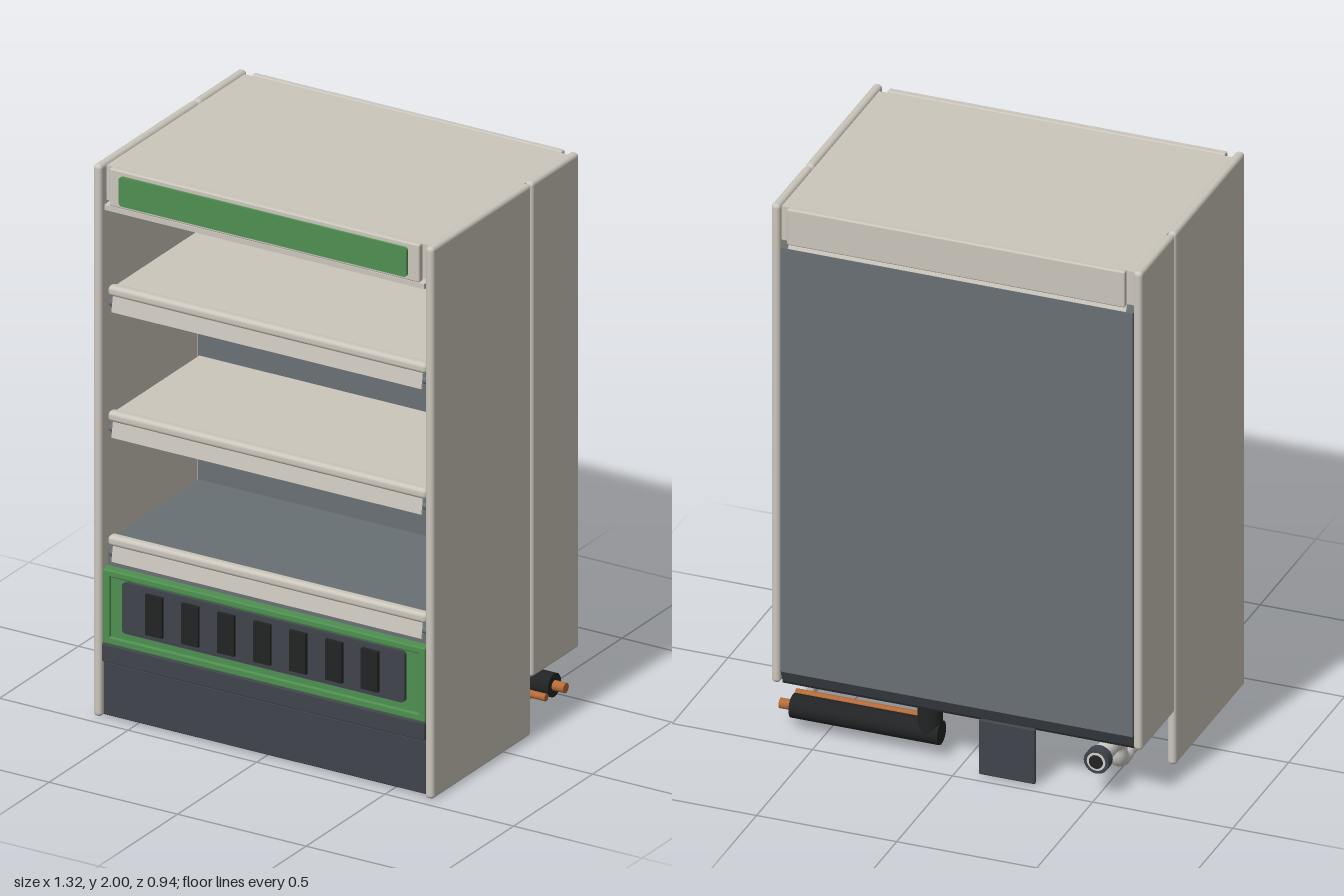
import * as THREE from 'three';
import { RoundedBoxGeometry } from 'three/addons/geometries/RoundedBoxGeometry.js';

const mat = (name, color) => {
  const m = new THREE.MeshStandardMaterial({ color });
  m.name = name;
  return m;
};

export function createModel() {
  const beige = mat('beige', 0xcbc6bc);
  const grey = mat('steelGrey', 0x697074);
  const dark = mat('darkGrey', 0x40454c);
  const green = mat('green', 0x4f8f50);
  const black = mat('black', 0x222324);
  const copper = mat('copper', 0xb56b38);
  const plastic = mat('pipeWhite', 0xd2d1cc);

  const model = new THREE.Group();
  model.name = 'displayCabinet';

  const add = (name, geometry, material, parent = model) => {
    const m = new THREE.Mesh(geometry, material);
    m.name = name;
    parent.add(m);
    return m;
  };
  // Box from its limits, with optional rounded edges
  const box = (name, material, [x0, x1], [y0, y1], [z0, z1], r = 0, parent = model) => {
    const s = [x1 - x0, y1 - y0, z1 - z0];
    const g = r ? new RoundedBoxGeometry(...s, 4, r) : new THREE.BoxGeometry(...s);
    g.translate((x0 + x1) / 2, (y0 + y1) / 2, (z0 + z1) / 2);
    return add(name, g, material, parent);
  };
  // (z, y) profile swept across the width
  const sweep = (name, material, points, halfWidth, parent = model) => {
    const shape = new THREE.Shape(points.map(([z, y]) => new THREE.Vector2(-z, y)));
    const g = new THREE.ExtrudeGeometry(shape, { depth: 2 * halfWidth, bevelEnabled: false });
    g.translate(0, 0, -halfWidth).rotateY(Math.PI / 2);
    return add(name, g, material, parent);
  };
  // Plate with rounded corners facing the front
  const plate = (name, material, hw, y0, y1, z0, z1, r) => {
    const s = new THREE.Shape();
    s.moveTo(-hw + r, y0).lineTo(hw - r, y0);
    s.absarc(hw - r, y0 + r, r, -Math.PI / 2, 0);
    s.absarc(hw - r, y1 - r, r, 0, Math.PI / 2);
    s.absarc(-hw + r, y1 - r, r, Math.PI / 2, Math.PI);
    s.absarc(-hw + r, y0 + r, r, Math.PI, Math.PI * 1.5);
    const g = new THREE.ExtrudeGeometry(s, { depth: z1 - z0, bevelEnabled: false, curveSegments: 6 });
    return add(name, g.translate(0, 0, z0), material);
  };
  const rod = (name, material, r, length, axis, x, y, z, parent) => {
    const g = new THREE.CylinderGeometry(r, r, length, 20);
    if (axis === 'x') g.rotateZ(Math.PI / 2);
    if (axis === 'z') g.rotateX(Math.PI / 2);
    return add(name, g.translate(x, y, z), material, parent);
  };

  // Side panels, each in a full-height front and a shorter rear piece
  for (const [side, s] of [['left', 1], ['right', -1]]) {
    const x = s > 0 ? [0.63, 0.662] : [-0.662, -0.63];
    box(side + 'FrontSidePanel', beige, x, [0, 2], [-0.163, 0.462], 0.014);
    box(side + 'RearSidePanel', beige, x, [0.205, 2], [-0.468, -0.168], 0.014);
  }

  // Rear duct, base tray and underside
  box('rearDuct', grey, [-0.628, 0.628], [0.25, 1.84], [-0.463, -0.15]);
  sweep('baseTray', dark, [[-0.463, 0.25], [-0.445, 0.207], [0.43, 0.207], [0.43, 0.25]], 0.628);
  box('underside', black, [-0.628, 0.628], [0.2, 0.207], [-0.445, 0.44]);
  box('lowerBody', grey, [-0.628, 0.628], [0.25, 0.6], [-0.15, 0.42]);

  // Roof with narrower fascias front and back
  box('roof', beige, [-0.63, 0.63], [1.865, 1.99], [-0.45, 0.425]);
  box('frontFascia', beige, [-0.603, 0.603], [1.858, 1.995], [0.425, 0.452], 0.006);
  sweep('frontFasciaLip', beige, [[0.452, 1.858], [0.452, 1.84], [0.36, 1.835], [0.36, 1.865]], 0.622);
  box('lampStrip', beige, [-0.59, 0.59], [1.825, 1.84], [0.36, 0.4]);
  plate('headerPanel', green, 0.56, 1.872, 1.978, 0.452, 0.462, 0.012);
  box('rearFascia', beige, [-0.603, 0.603], [1.86, 1.995], [-0.472, -0.45], 0.006);
  sweep('rearFasciaLip', beige, [[-0.45, 1.865], [-0.46, 1.84], [-0.4, 1.84], [-0.4, 1.865]], 0.603);

  // Shelves and lower deck: surface, rounded nose and price rail
  [[1.56, beige], [1.105, beige], [0.655, grey]].forEach(([top, surface], i) => {
    const shelf = new THREE.Group();
    shelf.name = i < 2 ? 'shelf' + (i + 1) : 'lowerDeck';
    model.add(shelf);
    box('surface', surface, [-0.622, 0.622], [top - 0.036, top - 0.02], [-0.15, 0.41], 0, shelf);
    box('nose', beige, [-0.62, 0.62], [top - 0.037, top], [0.4, 0.438], 0.014, shelf);
    sweep('priceRail', beige, [[0.428, top - 0.034], [0.438, top - 0.092],
      [0.428, top - 0.095], [0.414, top - 0.034]], 0.603, shelf);
    for (const s of [-1, 1]) {
      rod('railPin', grey, 0.012, 0.014, 'x', s * 0.61, top - 0.065, 0.42, shelf);
    }
  });

  // Front grille in a green surround
  box('grilleSurround', green, [-0.628, 0.628], [0.27, 0.54], [0.42, 0.445]);
  for (const [y0, y1] of [[0.27, 0.298], [0.515, 0.54]]) {
    box('surroundRim', green, [-0.628, 0.628], [y0, y1], [0.44, 0.456], 0.006);
  }
  for (const s of [-1, 1]) {
    box('surroundRim', green, s > 0 ? [0.6, 0.628] : [-0.628, -0.6], [0.27, 0.54], [0.44, 0.456], 0.006);
  }
  plate('grille', dark, 0.55, 0.325, 0.51, 0.445, 0.458, 0.015);
  for (let i = -3; i <= 3; i++) {
    box('grilleVent', black, [i * 0.14 - 0.033, i * 0.14 + 0.033], [0.345, 0.492], [0.45, 0.47]);
  }

  // Plinth
  box('plinthLedge', dark, [-0.628, 0.628], [0.205, 0.271], [0.4, 0.46], 0.005);
  box('kickPlate', dark, [-0.628, 0.628], [0.008, 0.202], [0.43, 0.448], 0.005);

  // Hanging bracket at the back
  box('rearBracket', dark, [-0.28, -0.08], [0.005, 0.21], [-0.466, -0.45], 0.005);

  // Drain trap
  const drain = new THREE.Group();
  drain.name = 'drain';
  model.add(drain);
  const v = (x, y, z) => new THREE.Vector3(x, y, z);
  const trapPath = new THREE.CurvePath();
  const px = -0.5;
  trapPath.add(new THREE.LineCurve3(v(px, 0.2, -0.195), v(px, 0.085, -0.195)));
  trapPath.add(new THREE.CubicBezierCurve3(v(px, 0.085, -0.195), v(px, 0.03, -0.195), v(px, 0.03, -0.275), v(px, 0.085, -0.275)));
  trapPath.add(new THREE.QuadraticBezierCurve3(v(px, 0.085, -0.275), v(px, 0.136, -0.275), v(px, 0.136, -0.33)));
  trapPath.add(new THREE.LineCurve3(v(px, 0.136, -0.33), v(px, 0.136, -0.455)));
  add('trap', new THREE.TubeGeometry(trapPath, 64, 0.033, 16), plastic, drain);
  rod('inletCollar', dark, 0.038, 0.035, 'y', px, 0.16, -0.195, drain);
  rod('outletCollar', dark, 0.045, 0.035, 'z', px, 0.136, -0.45, drain);
  rod('outletRim', plastic, 0.033, 0.004, 'z', px, 0.136, -0.468, drain);
  rod('outletBore', black, 0.025, 0.004, 'z', px, 0.136, -0.47, drain);

  // Insulated and bare refrigerant pipes
  const pipes = new THREE.Group();
  pipes.name = 'refrigerantPipes';
  model.add(pipes);
  rod('insulation', black, 0.042, 0.53, 'x', 0.35, 0.088, -0.385, pipes);
  rod('insulationRiser', black, 0.042, 0.12, 'y', 0.125, 0.145, -0.385, pipes);
  rod('suctionPipe', copper, 0.018, 0.06, 'x', 0.63, 0.088, -0.385, pipes);
  const liquidPath = new THREE.CurvePath();
  liquidPath.add(new THREE.LineCurve3(v(0.64, 0.085, -0.29), v(0.17, 0.085, -0.29)));
  liquidPath.add(new THREE.QuadraticBezierCurve3(v(0.17, 0.085, -0.29), v(0.14, 0.085, -0.29), v(0.14, 0.115, -0.29)));
  liquidPath.add(new THREE.LineCurve3(v(0.14, 0.115, -0.29), v(0.14, 0.205, -0.29)));
  add('liquidPipe', new THREE.TubeGeometry(liquidPath, 48, 0.013, 12), copper, pipes);
  rod('liquidPipeEnd', copper, 0.013, 0.004, 'x', 0.64, 0.085, -0.29, pipes);

  return model;
}
